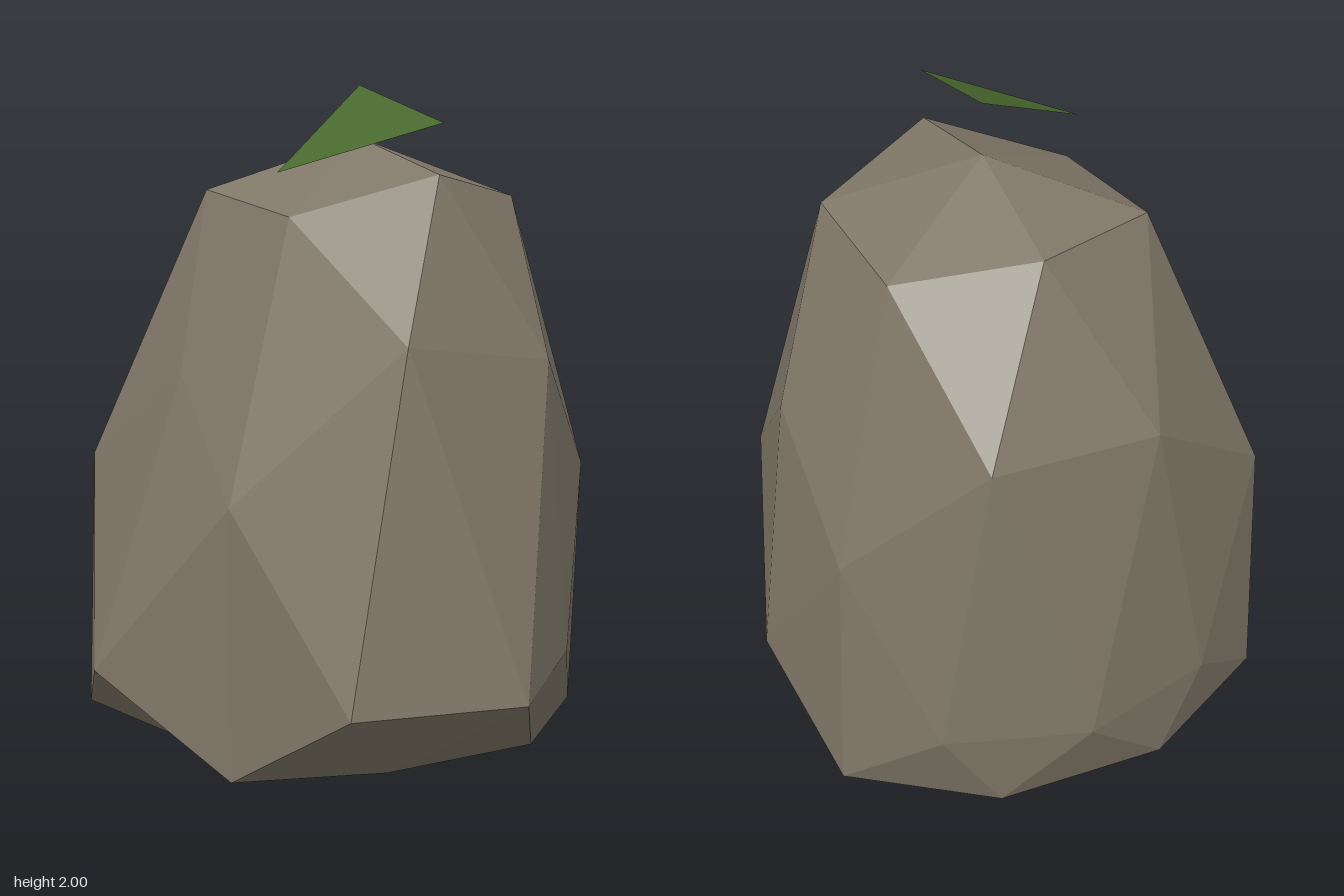
import * as THREE from 'three';

// Faceted body: each icosphere point (keyed by its direction x 10) moves to its place.
const BODY = {
  // crown
  '0,10,0': [0.09, 1.84, -0.07],
  '0,9,5': [0.09, 1.76, 0.37], '0,9,-5': [0.09, 1.71, -0.48],
  '5,8,3': [0.5, 1.66, 0.17], '5,8,-3': [0.48, 1.63, -0.3],
  '-5,8,3': [-0.3, 1.64, 0.17], '-5,8,-3': [-0.32, 1.68, -0.31],
  // shoulders
  '9,5,0': [0.74, 1.16, -0.07], '-9,5,0': [-0.54, 1.16, -0.07],
  '3,5,8': [0.35, 1.22, 0.57], '3,5,-8': [0.36, 1.23, -0.73],
  '-3,5,8': [-0.2, 1.32, 0.65], '-3,5,-8': [-0.17, 1.2, -0.71],
  // waist
  '8,3,5': [0.71, 0.8, 0.29], '8,3,-5': [0.71, 0.8, -0.43],
  '-8,3,5': [-0.59, 0.84, 0.32], '-8,3,-5': [-0.64, 0.84, -0.5],
  // widest ring
  '10,0,0': [0.85, 0.28, -0.07], '-10,0,0': [-0.85, 0.28, -0.07],
  '0,0,10': [0.09, 0.28, 0.85], '0,0,-10': [0.09, 0.28, -0.86],
  '5,0,9': [0.48, 0.28, 0.53], '5,0,-9': [0.52, 0.28, -0.72],
  '-5,0,9': [-0.41, 0.28, 0.69], '-5,0,-9': [-0.35, 0.28, -0.74],
  // edge of the flat base
  '8,-3,5': [0.69, 0, 0.28], '8,-3,-5': [0.75, 0, -0.46],
  '-8,-3,5': [-0.59, 0, 0.31], '-8,-3,-5': [-0.67, 0, -0.52],
  '3,-5,8': [0.34, 0, 0.54], '3,-5,-8': [0.34, 0, -0.75],
  '-3,-5,8': [-0.16, 0, 0.49], '-3,-5,-8': [-0.2, 0, -0.77],
  '9,-5,0': [0.71, 0, -0.07], '-9,-5,0': [-0.56, 0, -0.07],
};

function bodyGeometry() {
  const geometry = new THREE.IcosahedronGeometry(1, 1).rotateY(Math.PI / 2);
  const p = geometry.attributes.position;
  for (let i = 0; i < p.count; i++) {
    const [x, y, z] = [p.getX(i), p.getY(i), p.getZ(i)];
    const key = [x, y, z].map((v) => `${Math.round(v * 10)}`).join(',');
    // points not listed lie inside the flat underside
    p.setXYZ(i, ...(BODY[key] ?? [0.09 + 0.7 * x, 0, -0.07 + 0.7 * z]));
  }
  geometry.computeVertexNormals();
  return geometry;
}

export function createModel() {
  const model = new THREE.Group();
  model.name = 'rockWithLeaf';

  const rock = new THREE.Mesh(
    bodyGeometry(),
    new THREE.MeshStandardMaterial({ color: 0x807868, flatShading: true })
  );
  rock.name = 'rock';
  model.add(rock);

  // single triangular leaf floating over the crown
  const leafGeometry = new THREE.BufferGeometry().setFromPoints([
    new THREE.Vector3(0.09, 2, -0.07),
    new THREE.Vector3(-0.34, 1.77, 0.17),
    new THREE.Vector3(0.09, 1.91, 0.39),
  ]);
  leafGeometry.computeVertexNormals();
  const leaf = new THREE.Mesh(
    leafGeometry,
    new THREE.MeshStandardMaterial({ color: 0x48682f, flatShading: true, side: THREE.DoubleSide })
  );
  leaf.name = 'leaf';
  model.add(leaf);

  return model;
}
